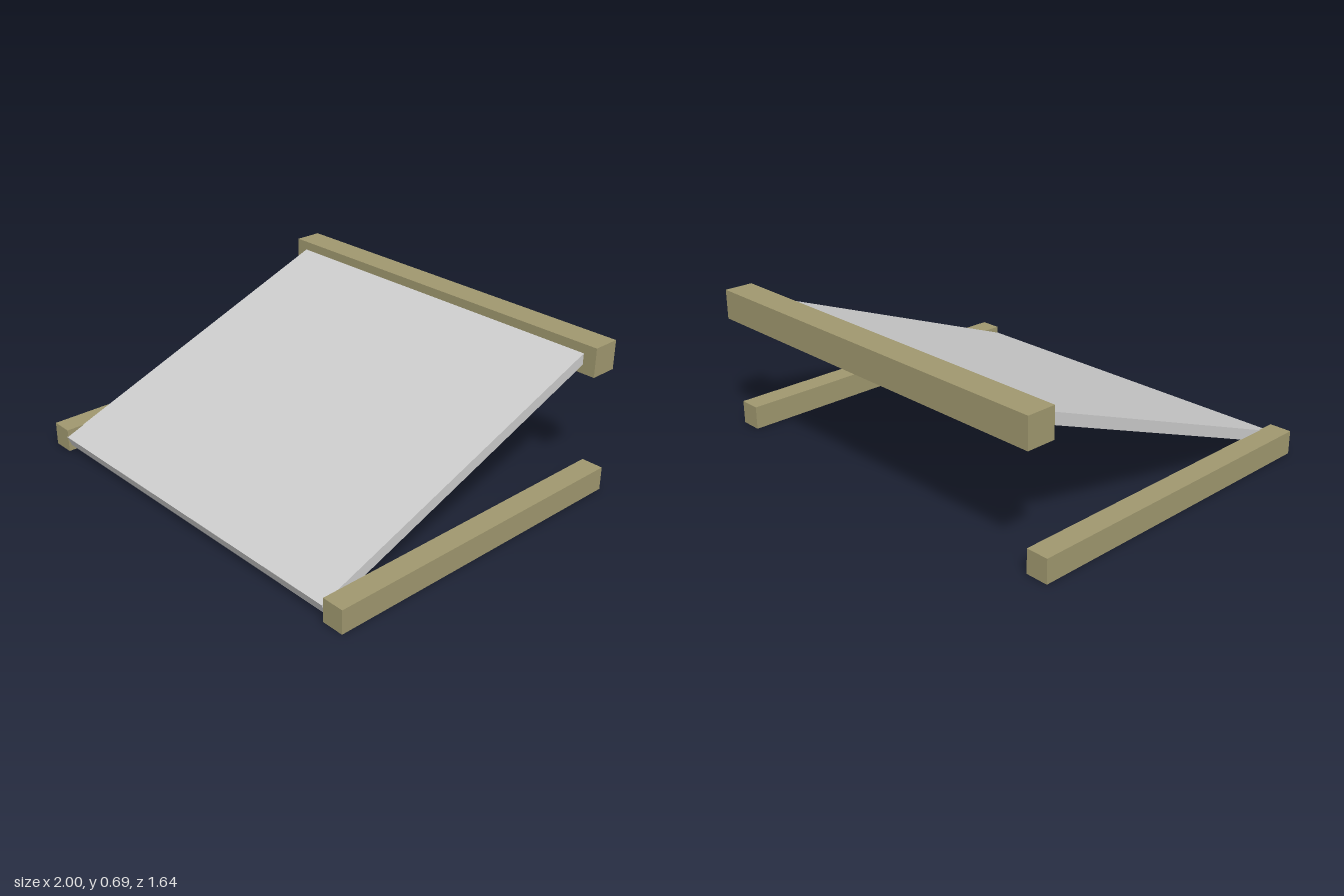
import * as THREE from 'three';

const wood = new THREE.MeshStandardMaterial({ color: 0xa0986f, flatShading: true });
const grey = new THREE.MeshStandardMaterial({ color: 0xcccccc, flatShading: true });

// Box given by its minimum and maximum corners
function boxBetween(name, material, [x0, y0, z0], [x1, y1, z1]) {
  const mesh = new THREE.Mesh(new THREE.BoxGeometry(x1 - x0, y1 - y0, z1 - z0), material);
  mesh.position.set((x0 + x1) / 2, (y0 + y1) / 2, (z0 + z1) / 2);
  mesh.name = name;
  return mesh;
}

export function createModel() {
  const group = new THREE.Group();
  group.name = 'slopedPanelOnBeams';

  // Ground rails
  group.add(boxBetween('leftRail', wood, [0.895, 0, -0.755], [1, 0.11, 0.817]));
  group.add(boxBetween('rightRail', wood, [-1, 0, -0.755], [-0.895, 0.11, 0.817]));

  // Raised rear beam
  group.add(boxBetween('rearBeam', wood, [-0.962, 0.555, -0.822], [0.954, 0.692, -0.687]));

  // Sloping panel, placed by the front and rear ends of its upper face
  const front = new THREE.Vector2(0.82, 0.075); // z, y
  const rear = new THREE.Vector2(-0.7, 0.654);
  const thickness = 0.05;
  const tilt = Math.atan2(rear.y - front.y, front.x - rear.x);
  const panel = new THREE.Mesh(
    new THREE.BoxGeometry(1.79, thickness, front.distanceTo(rear)), grey);
  panel.name = 'slopingPanel';
  panel.rotation.x = tilt;
  panel.position.set(-0.004,
    (front.y + rear.y) / 2 - Math.cos(tilt) * thickness / 2,
    (front.x + rear.x) / 2 - Math.sin(tilt) * thickness / 2);
  group.add(panel);

  return group;
}
